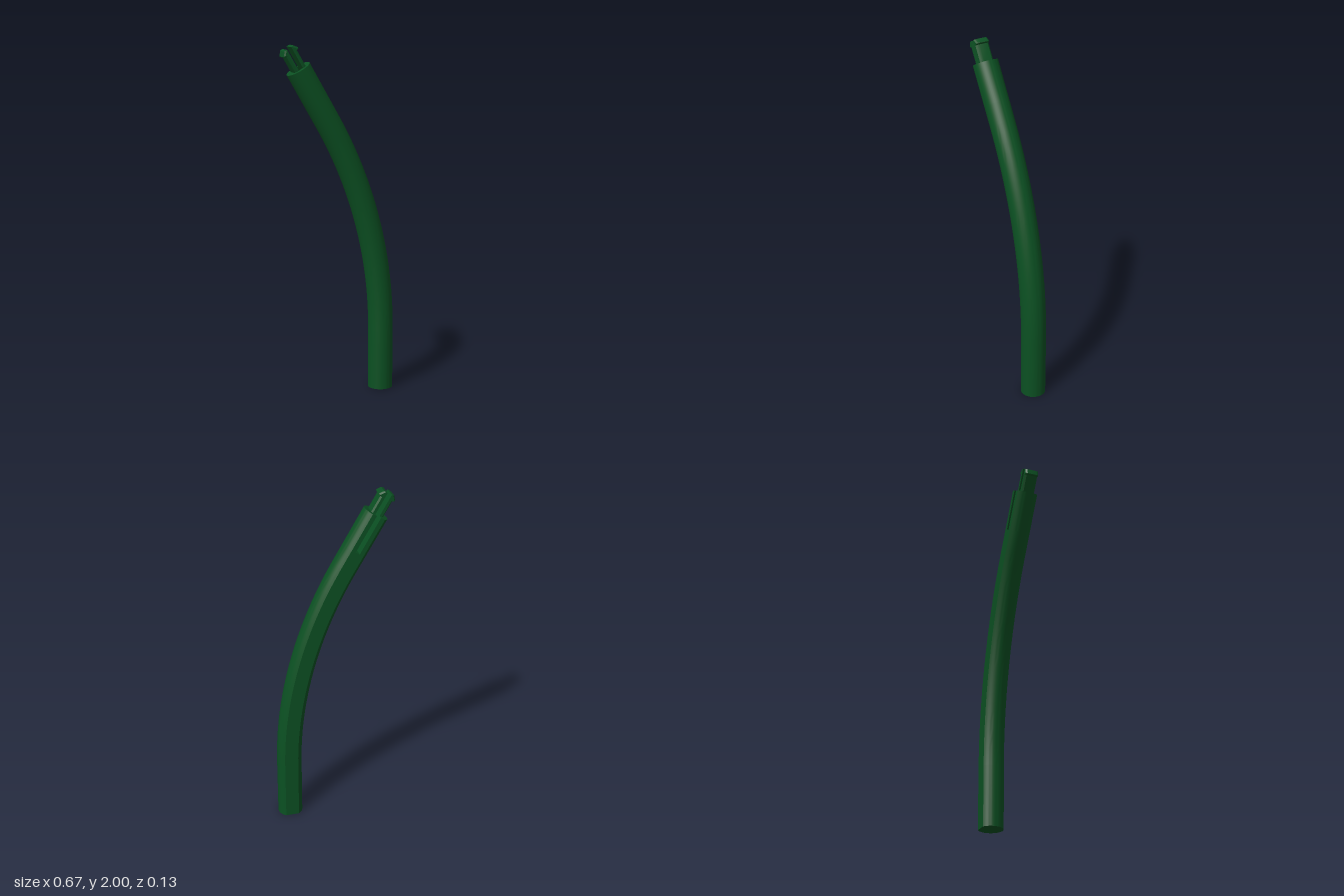
import * as THREE from 'three';
import { toCreasedNormals } from 'three/addons/utils/BufferGeometryUtils.js';

const TILT = Math.PI / 6;      // total bend of the bar
const FOOT_X = 0.262, FOOT_H = 0.35, BEND_R = 2.44, STRAIGHT = 0.346, SLOT = 0.23;
const GAP = 0.0135;            // half width of the slot and of the gap between prongs

// Closed solid through rings of 3D points (anticlockwise seen from the far end)
function loft(rings) {
  const n = rings[0].length, last = (rings.length - 1) * n, index = [];
  for (let i = 0; i < rings.length - 1; i++) {
    for (let j = 0; j < n; j++) {
      const a = i * n + j, b = i * n + (j + 1) % n;
      index.push(a, b, b + n, a, b + n, a + n);
    }
  }
  for (let j = 1; j < n - 1; j++) {
    index.push(0, j + 1, j, last, last + j, last + j + 1);
  }
  const geometry = new THREE.BufferGeometry();
  geometry.setAttribute('position', new THREE.Float32BufferAttribute(rings.flat(2), 3));
  geometry.setIndex(index);
  return toCreasedNormals(geometry, 0.35);
}

// Round outline with a flat back; x is across, y points to the back
function outline() {
  const points = [], r = 0.0715, cut = Math.asin(0.06 / r), steps = 40;
  for (let i = 0; i <= steps; i++) {
    const a = Math.PI - cut + (Math.PI + 2 * cut) * i / steps;
    points.push([r * Math.cos(a), 0.006 + r * Math.sin(a)]);
  }
  return points;
}

export function createModel() {
  const group = new THREE.Group();
  const green = new THREE.MeshStandardMaterial({ color: 0x0b5022 });
  green.name = 'dark green';
  const add = (name, geometry, parent) => {
    const mesh = new THREE.Mesh(geometry, green);
    mesh.name = name;
    parent.add(mesh);
  };

  // Curved bar: straight foot, arc, then straight up to the slot
  const section = outline();
  const ring = (x, y, t) => section.map(([u, s]) =>
    [x + u * Math.cos(t), y + u * Math.sin(t), -s]);
  const rings = [ring(FOOT_X, 0, 0)];
  const bends = 24;
  let x, y;
  for (let i = 0; i <= bends; i++) {
    const t = TILT * i / bends;
    x = FOOT_X - BEND_R * (1 - Math.cos(t));
    y = FOOT_H + BEND_R * Math.sin(t);
    rings.push(ring(x, y, t));
  }
  const along = d => [x - d * Math.sin(TILT), y + d * Math.cos(TILT)];
  rings.push(ring(...along(STRAIGHT - SLOT), TILT));
  add('curvedBar', loft(rings), group);

  // Tip frame: origin at the end of the bar, y along its axis
  const tip = new THREE.Group();
  tip.name = 'tip';
  tip.position.set(...along(STRAIGHT), 0);
  tip.rotation.z = TILT;
  group.add(tip);

  // End of the bar with a slot open to the back
  const slotted = [...section, [GAP, 0.066], [GAP, -0.035], [-GAP, -0.035], [-GAP, 0.066]];
  const shape = new THREE.Shape(slotted.map(p => new THREE.Vector2(...p)));
  const sleeve = new THREE.ExtrudeGeometry(shape, { depth: SLOT, bevelEnabled: false });
  sleeve.rotateX(-Math.PI / 2).translate(0, -SLOT, 0);
  add('slottedEnd', toCreasedNormals(sleeve, 0.35), tip);

  // Two snap prongs with hooked tips: [height, outer distance]
  const profile = [[-0.01, 0.038], [0.098, 0.038], [0.104, 0.051], [0.108, 0.051], [0.131, 0.032]];
  const prongRings = profile.map(([h, out]) => [
    [GAP, h, 0.04], [out - 0.014, h, 0.04], [out - 0.004, h, 0.033], [out, h, 0.02],
    [out, h, -0.03], [out - 0.008, h, -0.04], [GAP, h, -0.04],
  ]);
  add('rightSideProng', loft(prongRings), tip);
  const mirrored = prongRings.map(r => r.map(([u, h, z]) => [-u, h, z]).reverse());
  add('leftSideProng', loft(mirrored), tip);

  return group;
}
